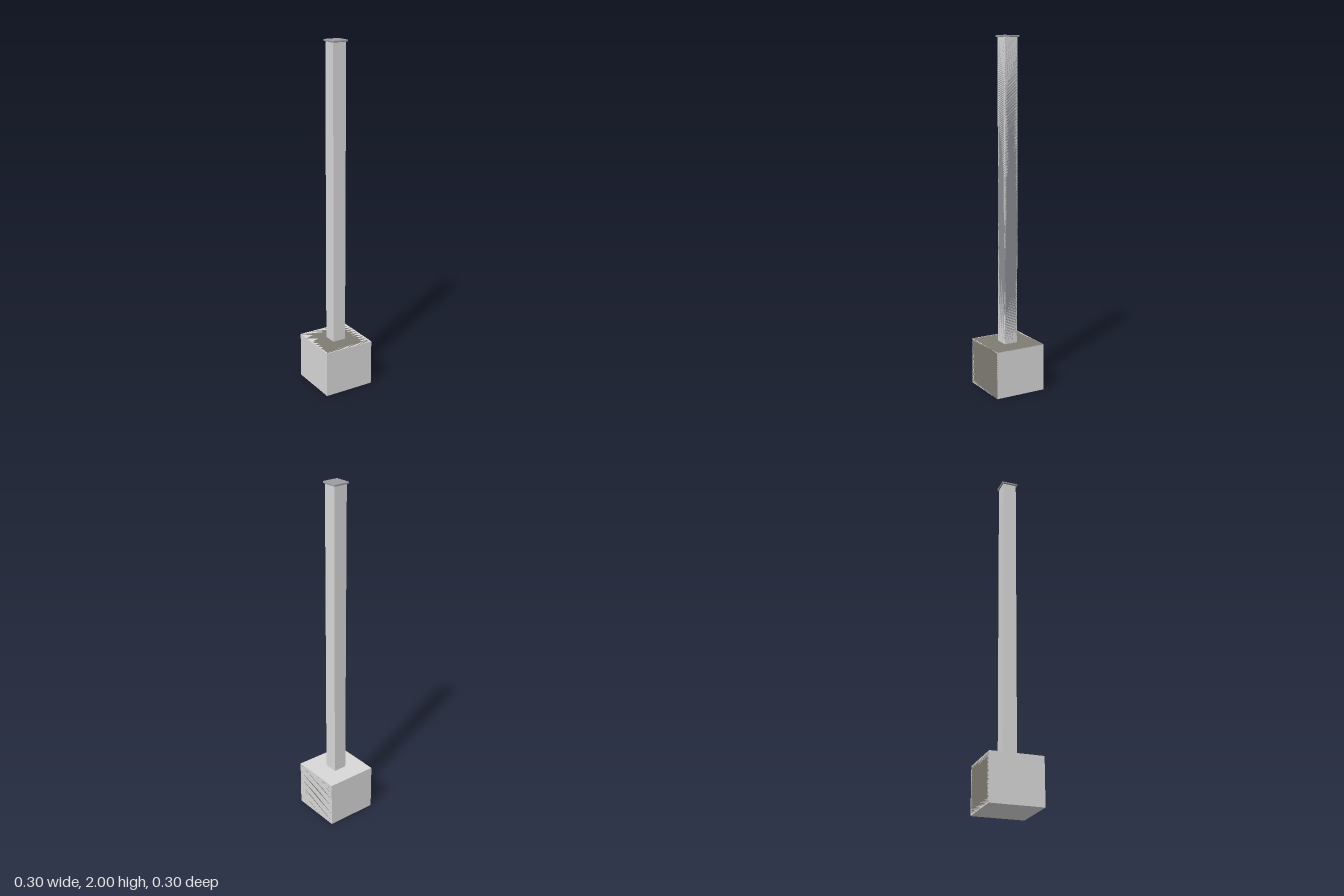
import * as THREE from 'three';

const material = (name, color) => {
  const m = new THREE.MeshStandardMaterial({ color });
  m.name = name;
  return m;
};

// A square block standing on height y: a pale face layer and a coloured layer
// in the same place, its faces split along the other diagonal
function block(name, width, y, height, paleMaterial, colourMaterial) {
  const box = new THREE.BoxGeometry(width, height, width).translate(0, y + height / 2, 0);
  const pale = new THREE.Mesh(box, paleMaterial);
  pale.name = name + 'Face';

  const mirrored = box.clone().scale(-1, 1, 1);
  mirrored.index.array.reverse();
  const coloured = new THREE.Mesh(mirrored, colourMaterial);
  coloured.name = name + 'Colour';

  const group = new THREE.Group();
  group.name = name;
  group.add(pale, coloured);
  return group;
}

// A square outline with rounded corners
function roundedSquare(half, r) {
  const s = new THREE.Shape();
  const c = half - r;
  [[c, c], [-c, c], [-c, -c], [c, -c]].forEach(([x, y], i) => {
    s.absarc(x, y, r, i * Math.PI / 2, (i + 1) * Math.PI / 2, false);
  });
  s.closePath();
  return s;
}

export function createModel() {
  const pale = material('pale grey', 0xd8d8d8);
  const concrete = material('concrete grey', 0x7f7c73);
  const steel = material('steel grey', 0x8c8f92);
  const capGrey = material('cap grey', 0x9b9da0);

  const model = new THREE.Group();
  model.name = 'post';

  // Footing and square tube
  model.add(block('footing', 0.302, 0, 0.27, pale, concrete));
  model.add(block('tube', 0.08, 0.27, 1.722, pale, steel));

  // Thin cap with softened corners and edges
  const capGeometry = new THREE.ExtrudeGeometry(roundedSquare(0.047, 0.003), {
    depth: 0.006, bevelThickness: 0.002, bevelSize: 0.002, bevelSegments: 2, curveSegments: 4,
  });
  capGeometry.rotateX(-Math.PI / 2);
  const cap = new THREE.Mesh(capGeometry, capGrey);
  cap.name = 'cap';
  cap.position.y = 1.992;
  model.add(cap);

  return model;
}
